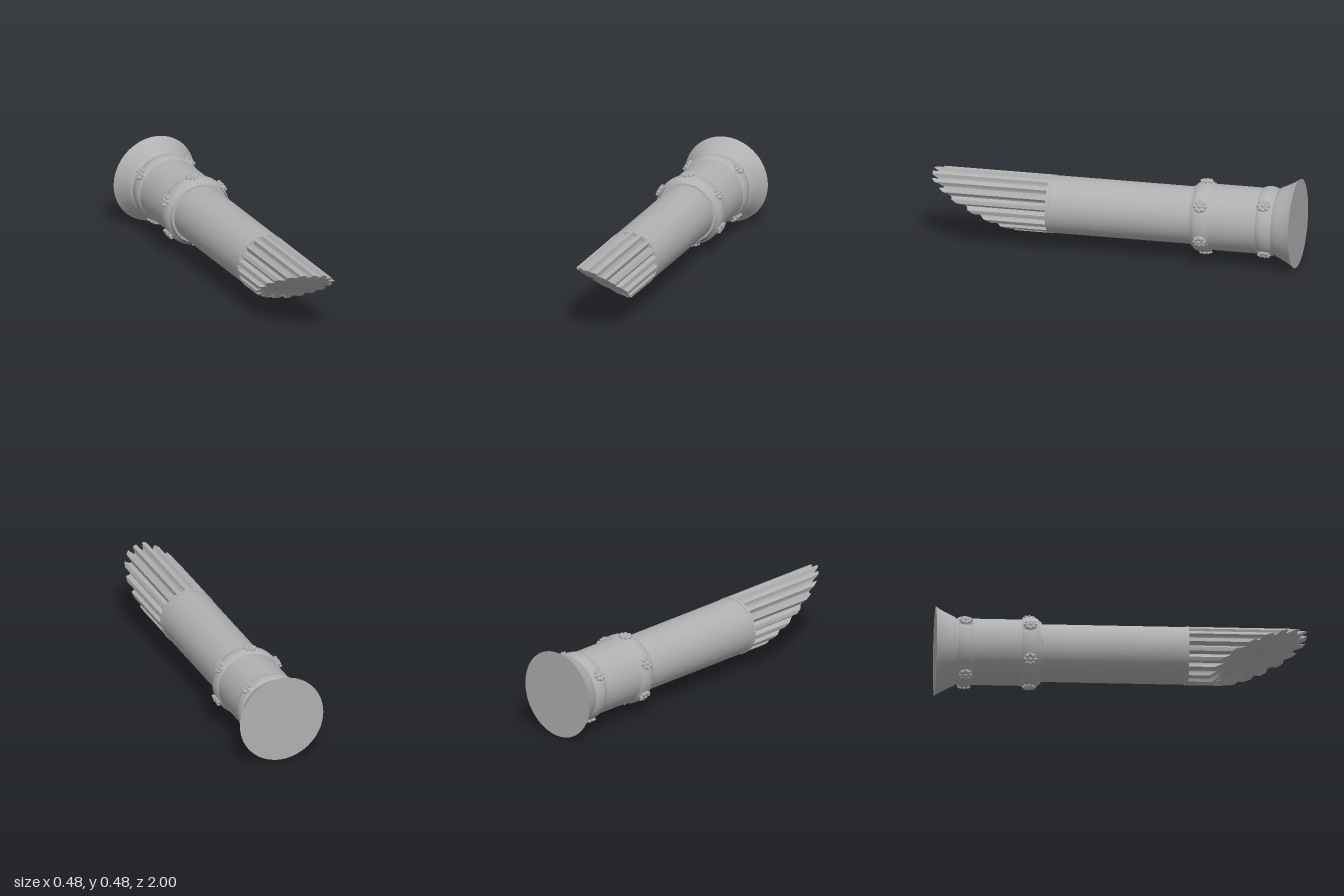
import * as THREE from 'three';
import { toCreasedNormals } from 'three/addons/utils/BufferGeometryUtils.js';

const AXIS_Y = 0.242;
const FLUTES = 18;
const TIP_BASE = 0.355;

// Solid of revolution about the z axis; points are [radius, z]
function turned(points, segments = 64) {
  const profile = points.map(([r, z]) => new THREE.Vector2(r, z));
  const geometry = new THREE.LatheGeometry(profile, segments).rotateX(Math.PI / 2);
  return toCreasedNormals(geometry, 0.5);
}

// Rounded ring profile between two z values
function ringProfile(z0, z1, rIn, rOut) {
  const points = [[rIn, z0]];
  for (let i = 0; i <= 10; i++) {
    const t = i / 10;
    const bulge = Math.pow(Math.sin(Math.PI * t), 0.6);
    points.push([rIn + (rOut - rIn) * bulge, z0 + (z1 - z0) * t]);
  }
  return points;
}

// Fluted shaft end, broken off along a slanted, slightly uneven face
function brokenTip() {
  const perFlute = 10, columns = FLUTES * perFlute, capRows = 10;
  const R = 0.157, positions = [], index = [];
  const radiusAt = (i) => {
    const t = (((i + perFlute / 2) % perFlute) / perFlute - 0.5) * 2;
    const groove = Math.max(0, (Math.abs(t) - 0.4) / 0.6);
    return R - 0.023 * Math.sin(groove * Math.PI / 2);
  };
  const breakZ = (x, y, k) => {
    const X = x / R, Y = y / R;
    const steep = 1 + 0.25 * (1 - k * k);
    const rough = 0.007 * Math.sin(X * 9 + Y * 4) * Math.cos(Y * 8 - X * 3);
    return 0.733 + 0.085 * X + 0.255 * Y * steep + 0.01 * Y * Y + rough;
  };
  const rows = 4 + capRows;
  for (let row = 0; row < rows; row++) {
    const k = row < 4 ? 1 : 1 - (row - 3) / capRows;
    for (let i = 0; i <= columns; i++) {
      const a = Math.PI / 2 + (i / columns) * Math.PI * 2;
      const r = (row < 4 ? radiusAt(i) : THREE.MathUtils.lerp(R * 0.88, radiusAt(i), k ** 3)) * k;
      const x = Math.cos(a) * r, y = Math.sin(a) * r;
      const end = Math.min(1, breakZ(x, y, k));
      positions.push(x, y, row < 4 ? THREE.MathUtils.lerp(TIP_BASE, end, row / 3) : end);
    }
  }
  for (let row = 0; row < rows - 1; row++) {
    for (let i = 0; i < columns; i++) {
      const a = row * (columns + 1) + i, c = a + columns + 1;
      index.push(a, a + 1, c);
      if (row < rows - 2) index.push(a + 1, c + 1, c);
    }
  }
  const geometry = new THREE.BufferGeometry();
  geometry.setAttribute('position', new THREE.Float32BufferAttribute(positions, 3));
  geometry.setIndex(index);
  return toCreasedNormals(geometry, 0.5);
}

export function createModel() {
  const model = new THREE.Group();
  const stone = new THREE.MeshStandardMaterial({ color: 0xb0b0b0 });
  stone.name = 'grey stone';

  const column = new THREE.Group();
  column.name = 'column';
  column.position.y = AXIS_Y;
  model.add(column);

  const add = (name, geometry, parent = column) => {
    const mesh = new THREE.Mesh(geometry, stone);
    mesh.name = name;
    parent.add(mesh);
    return mesh;
  };

  // Flared foot with a flat closed end
  add('flaredFoot', turned([
    [0, -1], [0.241, -1], [0.228, -0.982], [0.213, -0.955], [0.198, -0.925], [0.187, -0.9], [0.178, -0.89],
  ]));

  // Wide sleeve, plain shaft and the thin collar above it
  add('sleeve', turned([[0.178, -0.9], [0.178, -0.48], [0.15, -0.48]]));
  add('shaft', turned([[0.155, -0.5], [0.155, 0.35]]));
  add('collar', turned([[0.15, 0.342], [0.158, 0.342], [0.158, 0.36], [0.1, 0.36]]));
  add('brokenFlutedTip', brokenTip());

  // Raised bands around the sleeve
  add('lowerBand', turned(ringProfile(-0.885, -0.8, 0.176, 0.19)));
  add('upperBand', turned(ringProfile(-0.54, -0.445, 0.176, 0.192)));
  add('sleeveLip', turned([[0.178, -0.48], [0.174, -0.45], [0.166, -0.432], [0.15, -0.43]]));

  // Rosette studs: a bevelled disc, a ring of petals and a centre knob
  const disc = toCreasedNormals(new THREE.CylinderGeometry(0.026, 0.041, 0.022, 10), 0.4);
  const petal = new THREE.IcosahedronGeometry(0.0115, 1);
  const knob = new THREE.IcosahedronGeometry(0.012, 1);
  const addStud = (degrees, z, ringRadius) => {
    const a = THREE.MathUtils.degToRad(degrees);
    const stud = new THREE.Group();
    stud.name = 'rosetteStud';
    stud.position.set(Math.cos(a) * ringRadius, Math.sin(a) * ringRadius, z);
    stud.rotation.z = a - Math.PI / 2;
    add('studDisc', disc, stud);
    for (let i = 0; i < 8; i++) {
      const b = (i / 8) * Math.PI * 2;
      const mesh = add('studPetal', petal, stud);
      mesh.position.set(Math.cos(b) * 0.024, 0.007, Math.sin(b) * 0.024);
      mesh.scale.set(1.15, 0.75, 0.75);
      mesh.rotation.y = -b;
    }
    add('studKnob', knob, stud).position.y = 0.008;
    column.add(stud);
  };
  for (let i = 0; i < 6; i++) addStud(95 - i * 60, -0.495, 0.19);
  for (const degrees of [45, 145, -115, -50]) addStud(degrees, -0.84, 0.188);

  return model;
}
